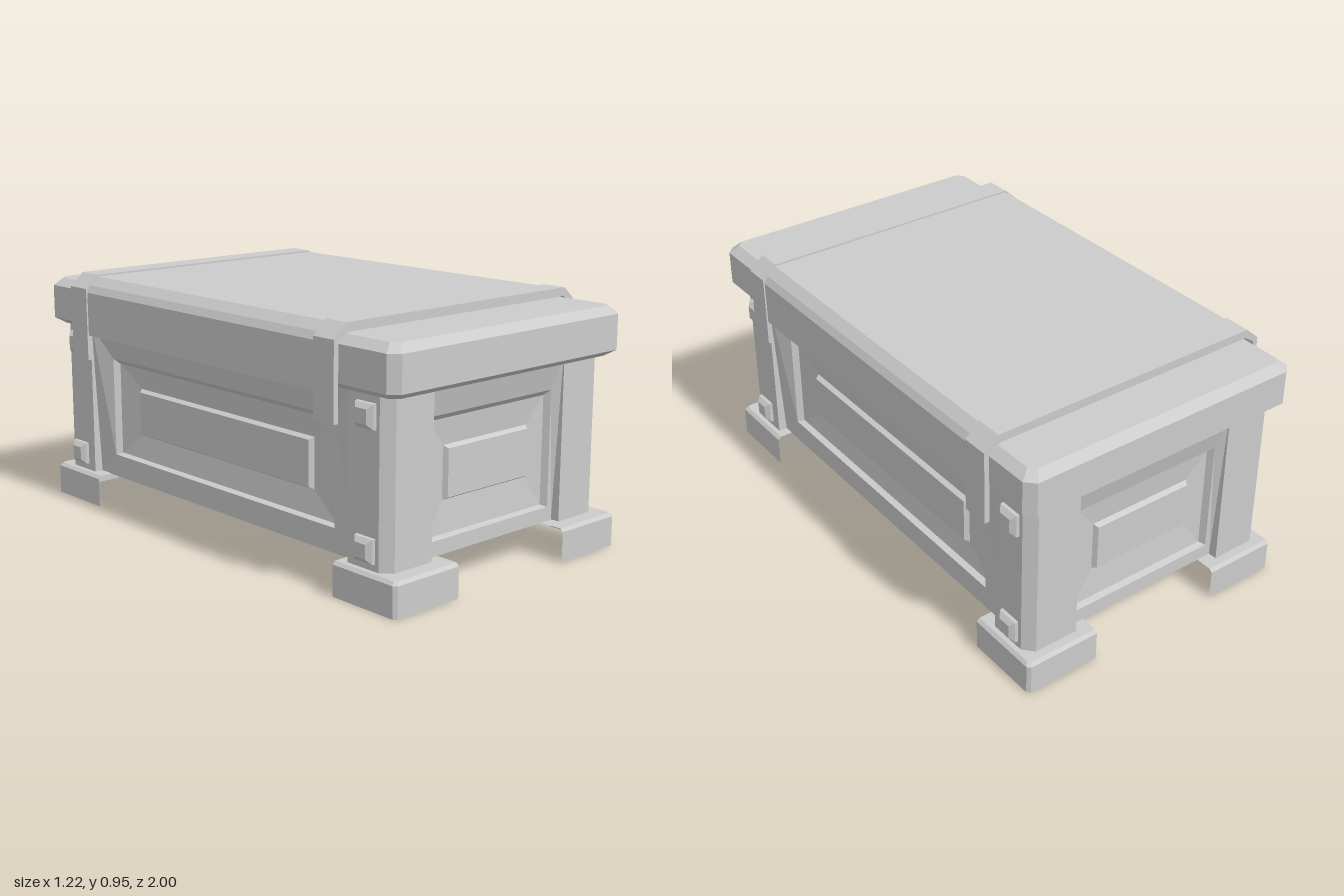
import * as THREE from 'three';

const flat = new THREE.MeshStandardMaterial({ color: 0xcccccc, flatShading: true, side: THREE.DoubleSide });

// Joins successive rows of points with quads; optionally closes each row and caps the last one
function loft(name, rows, { closed = false, cap = false } = {}) {
  const pos = [], n = rows[0].length;
  for (let r = 0; r < rows.length - 1; r++) {
    for (let i = 0; i < (closed ? n : n - 1); i++) {
      const j = (i + 1) % n, a = rows[r][i], b = rows[r][j], c = rows[r + 1][j], d = rows[r + 1][i];
      pos.push(...a, ...b, ...c, ...a, ...c, ...d);
    }
  }
  const last = rows[rows.length - 1];
  if (cap) for (let i = 1; i < n - 1; i++) pos.push(...last[0], ...last[i], ...last[i + 1]);
  const geo = new THREE.BufferGeometry();
  geo.setAttribute('position', new THREE.Float32BufferAttribute(pos, 3));
  geo.computeVertexNormals();
  const mesh = new THREE.Mesh(geo, flat);
  mesh.name = name;
  return mesh;
}

// Rectangle with chamfered corners at height y, counter-clockwise from above
function chamferRing(hx, hz, c, y) {
  return [[hx, hz - c], [hx, c - hz], [hx - c, -hz], [c - hx, -hz],
    [-hx, c - hz], [-hx, hz - c], [c - hx, hz], [hx - c, hz]].map(([x, z]) => [x, y, z]);
}

// Sunken wall panel with a raised field, facing +z; sizes are half widths and y ranges
function panel(name, frame, recess, field) {
  const rect = (w, y0, y1, d0, d1 = d0) => [[-w, y0, d0], [w, y0, d0], [w, y1, d1], [-w, y1, d1]];
  const [rw, r0, r1] = recess, [fw, f0, f1] = field;
  return loft(name, [
    rect(frame, 0.125, 0.73, 0, 0.03),
    rect(rw, r0, r1, 0),
    rect(rw - 0.012, r0 + 0.006, r1 - 0.022, -0.025),
    rect(fw, f0, f1, -0.035),
    rect(fw - 0.01, f0 + 0.01, f1 - 0.01, -0.017),
  ], { closed: true, cap: true });
}

// Thin band that wraps over the lid, following an outer and inner profile
function wrap(name, outer, inner, z0, z1) {
  const shape = new THREE.Shape([...outer, ...[...inner].reverse()].map(p => new THREE.Vector2(...p)));
  const geo = new THREE.ExtrudeGeometry(shape, { depth: z1 - z0, bevelEnabled: false });
  geo.translate(0, 0, z0);
  const mesh = new THREE.Mesh(geo, flat);
  mesh.name = name;
  return mesh;
}

export function createModel() {
  const model = new THREE.Group();
  model.name = 'chest';
  const body = new THREE.Group();
  body.name = 'body';
  body.position.set(0.008, 0, -0.013);
  model.add(body);

  const PX = 0.547, PZ = 0.943; // outer faces of the corner posts
  const FX = PX - 0.035, FZ = PZ - 0.035; // frame planes of the walls

  // End and side walls
  for (const s of [1, -1]) {
    const end = panel(s > 0 ? 'frontPanel' : 'backPanel', 0.335, [0.31, 0.18, 0.62], [0.215, 0.305, 0.5]);
    end.position.z = s * FZ;
    if (s < 0) end.rotation.y = Math.PI;
    const side = panel(s > 0 ? 'leftPanel' : 'rightPanel', 0.755, [0.652, 0.215, 0.61], [0.51, 0.315, 0.505]);
    side.position.x = s * FX;
    side.rotation.y = s * Math.PI / 2;
    body.add(end, side);
  }

  // Corner posts, feet and studs, mirrored to all four corners
  const postPlan = [[0.335, FZ], [0.335, PZ], [PX - 0.036, PZ], [PX, PZ - 0.04], [PX, 0.755], [FX, 0.755]];
  const footRow = (inset, y) => {
    const x = 0.577 - inset, z = 1 - inset, c = 0.012;
    return [[0.275, y, z], [x - c, y, z], [x, y, z - c], [x, y, 0.7]];
  };
  for (const sx of [1, -1]) for (const sz of [1, -1]) {
    const corner = new THREE.Group();
    corner.name = (sz > 0 ? 'front' : 'back') + (sx > 0 ? 'Left' : 'Right') + 'Corner';
    corner.scale.set(sx, 1, sz);

    corner.add(loft('post', [0.125, 0.735].map(y => postPlan.map(([x, z]) => [x, y, z]))));

    // Open foot: two outer walls and a ledge running in to the post
    const foot = loft('foot', [
      footRow(0, 0), footRow(0, 0.115), footRow(0.012, 0.127),
      [[0.275, 0.127, FZ - 0.01], [0.5, 0.127, FZ - 0.01], [0.5, 0.127, FZ - 0.01], [0.5, 0.127, 0.7]],
    ]);
    foot.position.z = 0.013 * sz;
    corner.add(foot);

    for (const y of [0.197, 0.655]) {
      const sq = (h, x) => [[x, y - h, h], [x, y - h, -h], [x, y + h, -h], [x, y + h, h]];
      const stud = loft('stud', [sq(0.045, PX - 0.005), sq(0.043, PX + 0.012), sq(0.026, PX + 0.028)],
        { closed: true, cap: true });
      stud.position.z = 0.843;
      corner.add(stud);
    }
    body.add(corner);
  }

  // Lid shell with bevelled edges, open underneath
  const lid = loft('lid', [
    chamferRing(0.5, 0.895, 0.02, 0.727),
    chamferRing(0.552, 0.962, 0.03, 0.727),
    chamferRing(0.587, 0.996, 0.035, 0.75),
    chamferRing(0.587, 0.996, 0.035, 0.882),
    chamferRing(0.552, 0.965, 0.025, 0.912),
  ], { closed: true, cap: true });
  lid.position.set(0.004, 0, 0.002);
  model.add(lid);

  // Cover sheet over the lid and the two straps at its ends
  const half = (pts) => [...pts.map(([x, y]) => [-x, y]), ...[...pts].reverse()];
  model.add(wrap('cover',
    half([[0.606, 0.715], [0.606, 0.885], [0.59, 0.912], [0.555, 0.944]]),
    half([[0.594, 0.715], [0.594, 0.88], [0.58, 0.9], [0.55, 0.92]]), -0.68, 0.65));
  const strapOuter = half([[0.612, 0.617], [0.612, 0.9], [0.555, 0.951]]);
  const strapInner = half([[0.592, 0.617], [0.592, 0.89], [0.55, 0.918]]);
  model.add(wrap('frontStrap', strapOuter, strapInner, 0.65, 0.75));
  model.add(wrap('backStrap', strapOuter, strapInner, -0.785, -0.68));

  return model;
}
